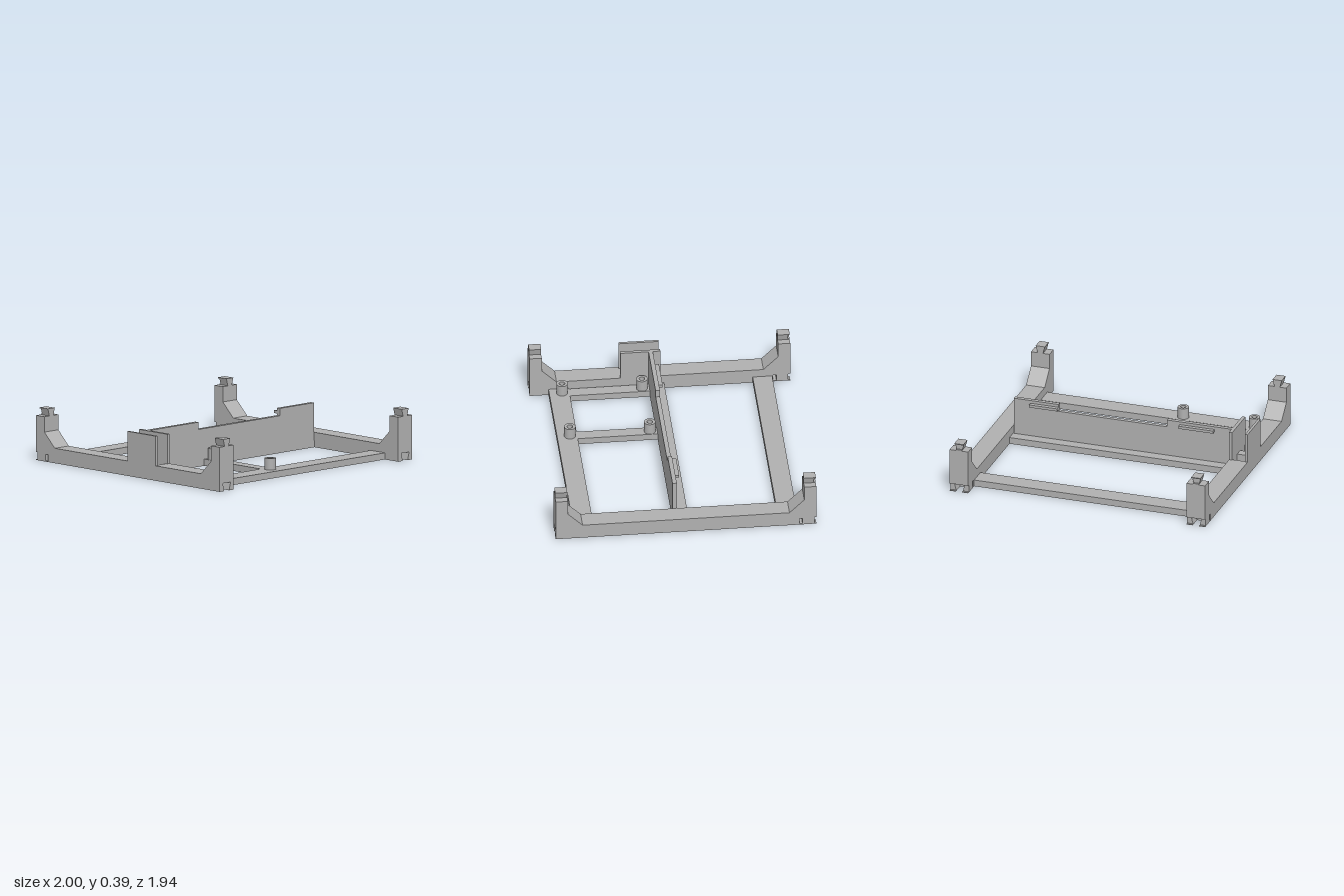
import * as THREE from 'three';

const RAIL_X = 0.9275, RAIL_W = 0.145, RAIL_H = 0.112, BAR_H = 0.05, TOP = 0.335;

export function createModel() {
  const model = new THREE.Group();
  model.name = 'stackingFrame';
  const grey = new THREE.MeshStandardMaterial({ color: 0xb0b0b0 });
  grey.name = 'grey plastic';

  const add = (name, geometry, parent = model) => {
    const mesh = new THREE.Mesh(geometry, grey);
    mesh.name = name;
    parent.add(mesh);
    return mesh;
  };
  // box given by its limits on each axis
  const block = (name, x0, x1, y0, y1, z0, z1, parent) =>
    add(name, new THREE.BoxGeometry(x1 - x0, y1 - y0, z1 - z0), parent)
      .position.set((x0 + x1) / 2, (y0 + y1) / 2, (z0 + z1) / 2);
  const outline = (points) => new THREE.Shape(points.map(([x, y]) => new THREE.Vector2(x, y)));
  const rectHole = (x0, x1, y0, y1) =>
    new THREE.Path([[x0, y0], [x0, y1], [x1, y1], [x1, y0]].map(([x, y]) => new THREE.Vector2(x, y)));
  const extrude = (shape, depth) =>
    new THREE.ExtrudeGeometry(shape, { depth, bevelEnabled: false, curveSegments: 24 });

  // side rails, the one on the right pierced by two square windows
  for (const side of [-1, 1]) {
    const w = RAIL_W / 2;
    const shape = outline([[-w, -0.77], [w, -0.77], [w, 0.77], [-w, 0.77]]);
    if (side < 0) {
      // shape y becomes -z when laid flat
      shape.holes.push(rectHole(-0.052, 0.048, -0.11, -0.005), rectHole(-0.052, 0.048, -0.28, -0.18));
    }
    const rail = extrude(shape, RAIL_H);
    rail.rotateX(-Math.PI / 2);
    add(side < 0 ? 'rightRail' : 'leftRail', rail).position.x = side * RAIL_X;
  }

  // corner posts with a dovetail on top and a matching socket below
  for (const side of [-1, 1]) {
    for (const end of [-1, 1]) {
      const post = new THREE.Group();
      post.name = (end > 0 ? 'front' : 'back') + (side > 0 ? 'Left' : 'Right') + 'Post';
      post.position.x = side * RAIL_X;
      model.add(post);
      const back = end < 0;

      const profile = outline([[0.77, 0], [0.87, 0], [0.87, 0.06], [0.97, 0.06], [0.97, TOP],
        [0.88, TOP], [0.88, 0.22], [0.77, RAIL_H]]);
      if (back) profile.holes.push(rectHole(0.843, 0.867, 0.007, 0.055));
      const body = extrude(profile, RAIL_W);
      body.translate(0, 0, -RAIL_W / 2);
      body.rotateY(-end * Math.PI / 2);
      add('postBody', body, post);

      // the back pieces stop short behind thin lips
      const outer = back ? 0.955 : 0.97;
      const placeZ = (geo, inner) => {
        geo.translate(0, 0, back ? -outer : inner);
        return geo;
      };
      const tail = outline([[-0.021, TOP], [0.021, TOP], [0.036, 0.39], [-0.036, 0.39]]);
      add('dovetail', placeZ(extrude(tail, outer - 0.88), 0.88), post);
      for (const s of [-1, 1]) {
        const corners = [[0.025, 0], [0.0725, 0], [0.0725, 0.06], [0.041, 0.06]];
        const prong = outline(corners.map(([x, y]) => [s * x, y]));
        add('socketProng', placeZ(extrude(prong, outer - 0.87), 0.87), post);
        if (back) {
          block('socketLip', Math.min(s * 0.026, s * 0.0725), Math.max(s * 0.026, s * 0.0725),
            0, 0.006, -0.97, -0.955, post);
        }
      }
      if (back) {
        block('dovetailTopLip', -0.036, 0.036, 0.383, 0.39, -0.97, -0.955, post);
        block('dovetailBottomLip', -0.021, 0.021, TOP, 0.342, -0.97, -0.955, post);
      }
    }
  }

  // cross bars
  block('backBar', -0.855, 0.855, 0, BAR_H, -0.835, -0.69);
  block('middleBar', -0.855, 0.855, 0, BAR_H, -0.03, 0.085);
  block('frontBar', -0.855, 0.855, 0, BAR_H, 0.68, 0.83);
  block('outerMountBar', -0.845, -0.755, 0, BAR_H, 0.085, 0.68);
  block('innerMountBar', -0.29, -0.2, 0, BAR_H, 0.085, 0.68);

  // upright wall with a lowered centre
  const wall = outline([[-0.855, BAR_H], [0.85, BAR_H], [0.85, TOP], [0.5, TOP],
    [0.5, 0.28], [-0.35, 0.28], [-0.35, TOP], [-0.855, TOP]]);
  add('wall', extrude(wall, 0.032)).position.z = 0.053;
  block('rightLedge', -0.72, -0.45, 0.292, 0.313, 0.022, 0.053);
  block('leftLedge', 0.5, 0.72, 0.292, 0.313, 0.022, 0.053);

  // pair of plates flanking the windows
  block('outerPlate', -1, -0.98, RAIL_H, TOP, -0.003, 0.295);
  block('innerPlate', -0.88, -0.855, RAIL_H, TOP, -0.003, 0.295);

  // hollow mounting bosses
  const ring = new THREE.Shape().absarc(0, 0, 0.042, 0, Math.PI * 2, false);
  ring.holes.push(new THREE.Path().absarc(0, 0, 0.021, 0, Math.PI * 2, true));
  const boss = extrude(ring, 0.085);
  boss.rotateX(-Math.PI / 2);
  for (const x of [-0.8, -0.243]) {
    for (const z of [0.14, 0.735]) add('mountingBoss', boss).position.set(x, BAR_H, z);
  }
  return model;
}
